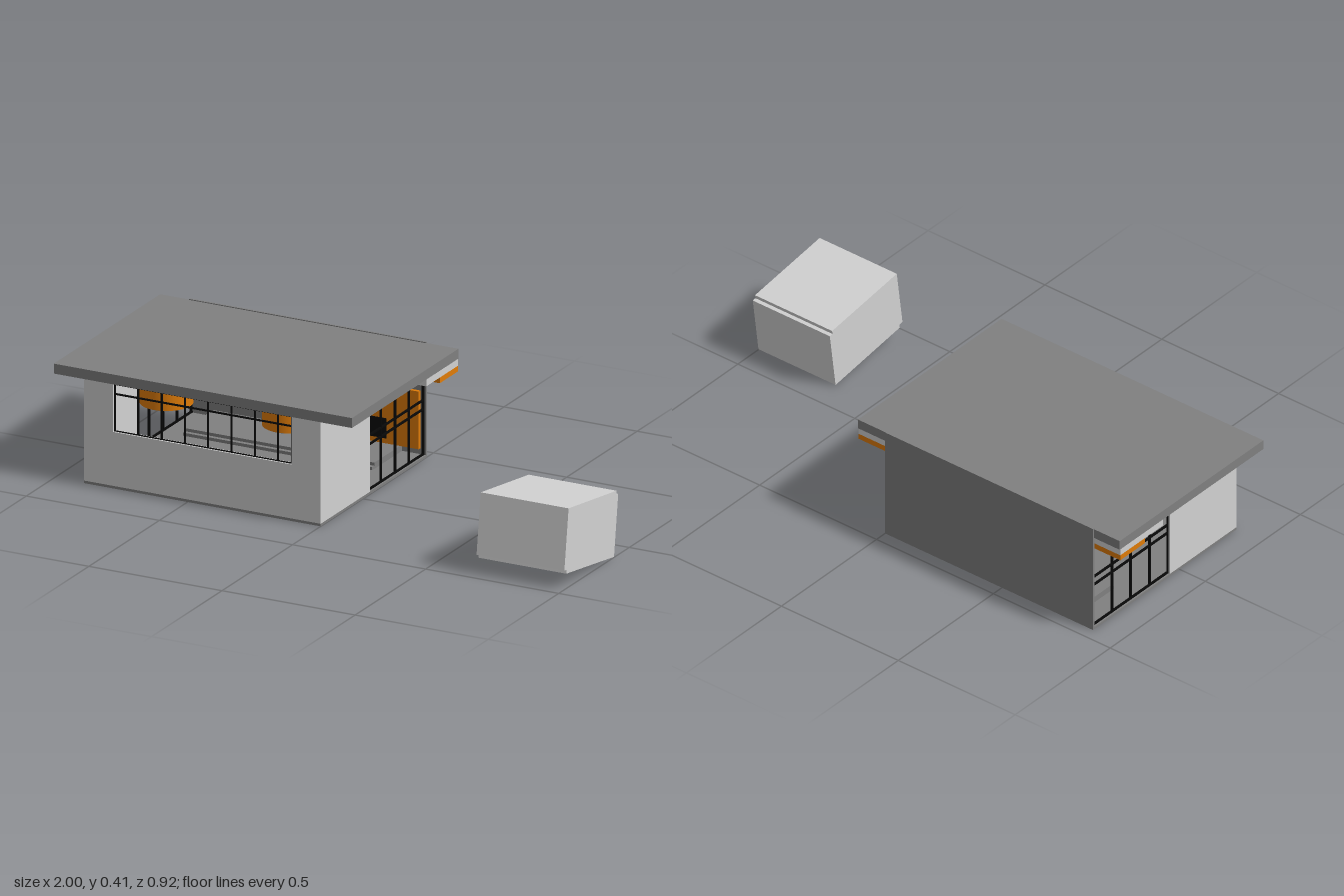
import * as THREE from 'three';

const mat = (name, color) => {
  const m = new THREE.MeshStandardMaterial({ color });
  m.name = name;
  return m;
};

export function createModel() {
  const model = new THREE.Group();
  model.name = 'pavilion';
  const grey = mat('slate grey', 0x808080);
  const light = mat('pale plaster', 0xd2d2d2);
  const orange = mat('warm orange', 0xe07c08);
  const black = mat('black frame', 0x080808);

  // Box given by its minimum and maximum on each axis
  const box = (name, m, x0, x1, y0, y1, z0, z1, parent = model) => {
    const mesh = new THREE.Mesh(new THREE.BoxGeometry(x1 - x0, y1 - y0, z1 - z0), m);
    mesh.position.set((x0 + x1) / 2, (y0 + y1) / 2, (z0 + z1) / 2);
    mesh.name = name;
    parent.add(mesh);
    return mesh;
  };
  const cylinder = (name, m, r, y0, y1, x, z, sides = 32) => {
    const mesh = new THREE.Mesh(new THREE.CylinderGeometry(r, r, y1 - y0, sides), m);
    mesh.position.set(x, (y0 + y1) / 2, z);
    mesh.name = name;
    model.add(mesh);
  };

  // Shell: floor, roof, back wall
  box('floorSlab', grey, -0.89, 0, 0, 0.009, -0.455, 0.30);
  box('roof', grey, -1, 0.12, 0.37, 0.405, -0.45, 0.305);
  box('backWall', grey, -0.89, 0, 0.009, 0.408, -0.455, -0.447);

  // Front wall around the window
  box('frontSill', light, -0.89, 0, 0.009, 0.2, 0.28, 0.30);
  box('frontPierRight', light, -0.89, -0.78, 0.2, 0.37, 0.28, 0.30);
  box('frontPierLeft', light, -0.11, 0, 0.2, 0.37, 0.28, 0.30);

  // Side walls, open towards the back
  box('sideWallRight', light, -0.89, -0.87, 0.009, 0.37, -0.05, 0.28);
  box('sideWallLeft', light, -0.02, 0, 0.009, 0.37, -0.05, 0.28);

  // Stepped soffit below the back half of the roof
  box('upperSoffit', light, -1, 0.12, 0.346, 0.37, -0.447, -0.222);
  box('lowerSoffit', orange, -1, 0.12, 0.326, 0.346, -0.447, -0.318);
  for (const x of [-0.955, 0.07]) cylinder('soffitLamp', orange, 0.01, 0.321, 0.326, x, -0.352, 12);

  // Front window frame
  const frontFrame = new THREE.Group();
  frontFrame.name = 'frontWindowFrame';
  model.add(frontFrame);
  const t = 0.0025;
  for (const x of [-0.777, -0.69, -0.602, -0.515, -0.428, -0.34, -0.252, -0.165, -0.113])
    box('mullion', black, x - t, x + t, 0.2, 0.37, 0.288, 0.294, frontFrame);
  for (const y of [0.2, 0.332, 0.367])
    box('rail', black, -0.78, -0.11, y - t, y + t, 0.288, 0.294, frontFrame);

  // Side window frames, with heads following the stepped soffit
  for (const [name, x] of [['leftWindowFrame', -0.01], ['rightWindowFrame', -0.88]]) {
    const frame = new THREE.Group();
    frame.name = name;
    model.add(frame);
    for (const [z, top] of [[-0.048, 0.37], [-0.145, 0.37], [-0.245, 0.346], [-0.343, 0.326], [-0.444, 0.326]])
      box('mullion', black, x - 0.004, x + 0.004, 0.009, top, z - t, z + t, frame);
    for (const [y, z0, z1] of [[0.012, -0.447, -0.048], [0.171, -0.447, -0.048], [0.203, -0.447, -0.048],
      [0.367, -0.222, -0.048], [0.344, -0.318, -0.222], [0.324, -0.447, -0.318]])
      box('rail', black, x - 0.004, x + 0.004, y - t, y + t, z0, z1, frame);
  }

  // Two large drum shades hanging from the ceiling
  for (const x of [-0.68, -0.22]) {
    cylinder('drumShade', orange, 0.09, 0.262, 0.37, x, 0.11);
    cylinder('drumDiffuser', grey, 0.084, 0.259, 0.262, x, 0.11);
  }

  // Platform, wall panels and small tableware at the back
  box('platformStep', grey, -0.8, -0.09, 0.009, 0.02, -0.25, -0.235);
  box('platform', grey, -0.8, -0.09, 0.009, 0.031, -0.447, -0.25);
  box('tallPanel', orange, -0.3, -0.02, 0.031, 0.235, -0.445, -0.432);
  box('lowPanel', orange, -0.6, -0.3, 0.031, 0.218, -0.445, -0.432);
  box('panelBacking', light, -0.6, -0.3, 0.031, 0.245, -0.447, -0.444);
  box('darkScreen', black, -0.26, -0.14, 0.05, 0.12, -0.432, -0.428);
  for (const [x, z, h] of [[-0.3, -0.278, 0.022], [-0.33, -0.288, 0.03], [-0.36, -0.298, 0.026]])
    cylinder('cup', grey, 0.004, 0.031, 0.031 + h, x, z, 10);

  // Detached tilted block: side outline as (z, y), swept along x
  const outline = [[0.43, 0.278], [0.09, 0.23], [0.092, 0.217], [0.078, 0.215],
    [0.108, 0.002], [0.446, 0.052], [0.444, 0.065], [0.46, 0.067]];
  const shape = new THREE.Shape(outline.map(([z, y]) => new THREE.Vector2(-z, y)));
  const block = new THREE.Mesh(
    new THREE.ExtrudeGeometry(shape, { depth: 0.33, bevelEnabled: false }).rotateY(Math.PI / 2), light);
  block.position.x = 0.67;
  block.name = 'tiltedBlock';
  model.add(block);

  return model;
}
